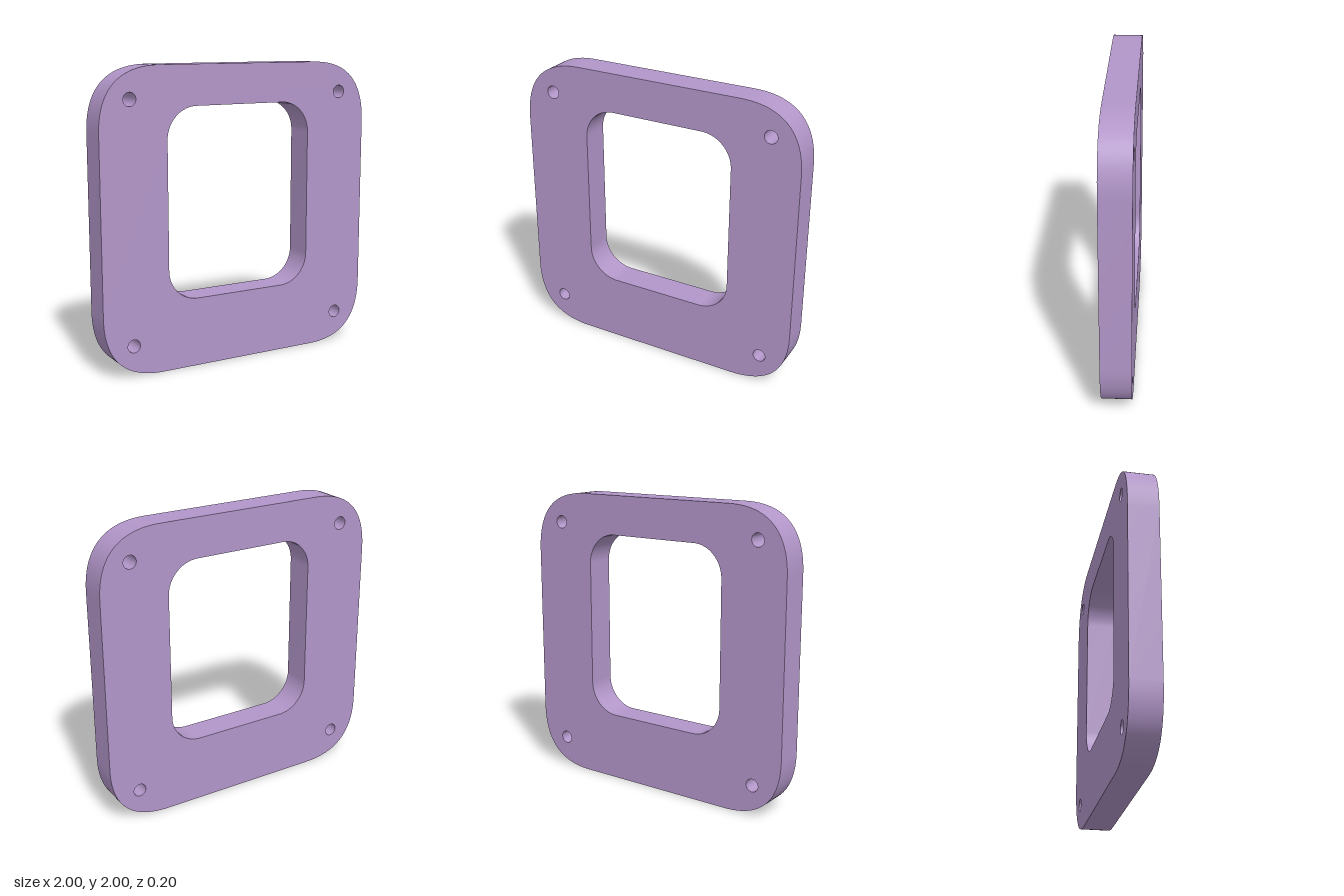
import * as THREE from 'three';
import { toCreasedNormals } from 'three/addons/utils/BufferGeometryUtils.js';

// Outer outline: half-size s, corners eased over length r
function plateOutline(s, r) {
  const shape = new THREE.Shape();
  shape.moveTo(-s + r, -s);
  shape.lineTo(s - r, -s);
  shape.quadraticCurveTo(s, -s, s, -s + r);
  shape.lineTo(s, s - r);
  shape.quadraticCurveTo(s, s, s - r, s);
  shape.lineTo(-s + r, s);
  shape.quadraticCurveTo(-s, s, -s, s - r);
  shape.lineTo(-s, -s + r);
  shape.quadraticCurveTo(-s, -s, -s + r, -s);
  return shape;
}

// Window outline: half-sizes w and h about height cy, circular corners of radius r
function windowOutline(w, h, cy, r) {
  const path = new THREE.Path();
  const corners = [[1, 1], [-1, 1], [-1, -1], [1, -1]];
  corners.forEach(([sx, sy], i) => {
    const start = i * Math.PI / 2;
    path.absarc(sx * (w - r), cy + sy * (h - r), r, start, start + Math.PI / 2);
  });
  return path.closePath();
}

export function createModel() {
  const depth = 0.2;
  const group = new THREE.Group();
  group.name = 'mountingFrame';

  // Outer plate with a window set slightly above centre
  const plate = plateOutline(1, 0.42);
  plate.holes.push(windowOutline(0.535, 0.635, 0.1, 0.21));

  // Screw hole in each corner
  for (const x of [-0.792, 0.792]) {
    for (const y of [-0.792, 0.792]) {
      plate.holes.push(new THREE.Path().absarc(x, y, 0.044, 0, Math.PI * 2, true));
    }
  }

  const extruded = new THREE.ExtrudeGeometry(plate, { depth, bevelEnabled: false, curveSegments: 24 });
  const geometry = toCreasedNormals(extruded, Math.PI / 6);
  geometry.translate(0, 1, -depth / 2);

  const framePlate = new THREE.Mesh(geometry, new THREE.MeshStandardMaterial({ color: 0xb296c9 }));
  framePlate.name = 'framePlate';
  group.add(framePlate);
  return group;
}
